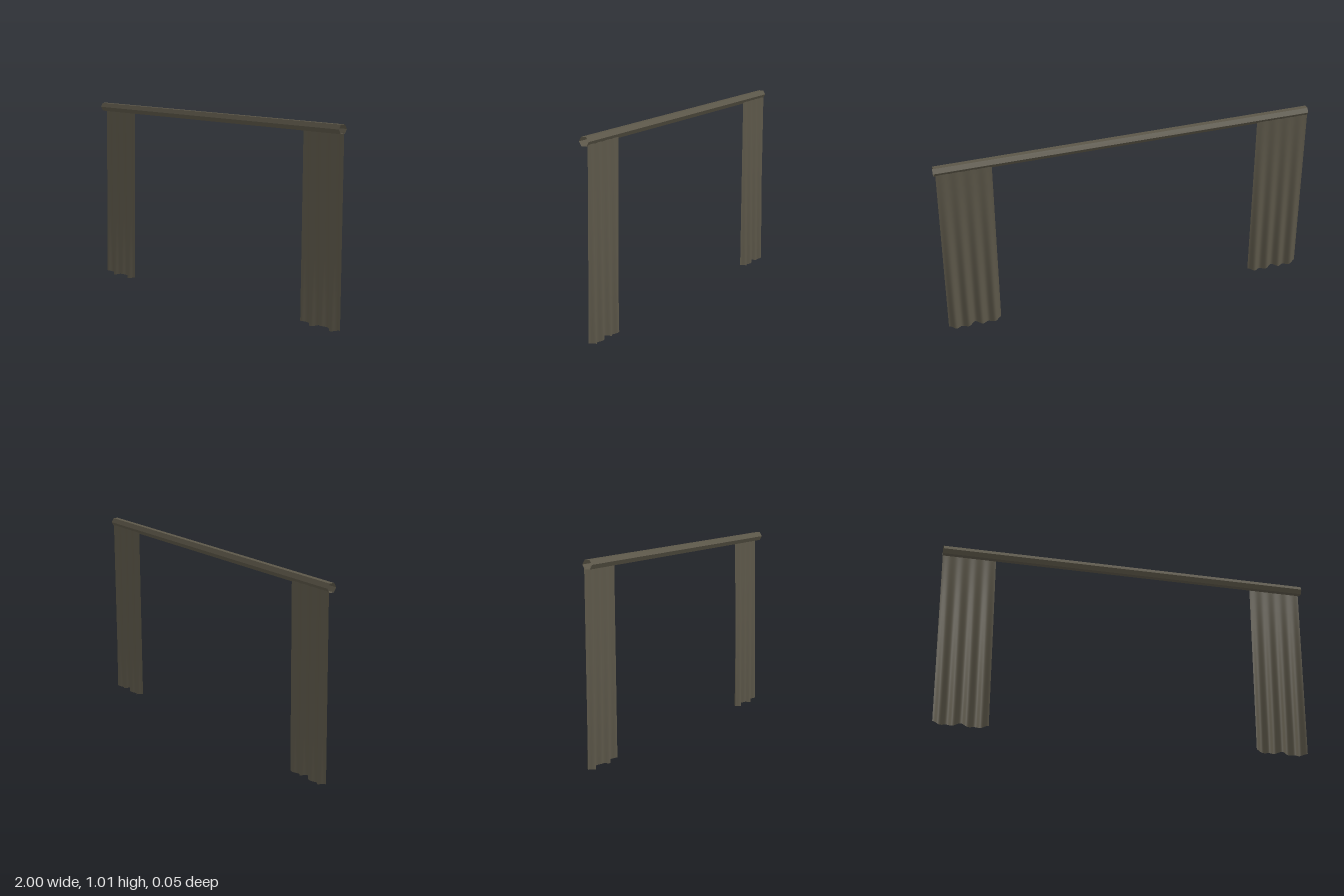
import * as THREE from 'three';

const WIDTH = 0.285, TOP = 0.97, FOLDS = 4;

// A hanging cloth panel whose folds deepen from the gathered top to the hem
function curtainGeometry() {
  const geo = new THREE.PlaneGeometry(WIDTH, 1, 48, 8);
  const pos = geo.attributes.position;
  for (let i = 0; i < pos.count; i++) {
    const u = pos.getX(i) / WIDTH + 0.5;
    const drop = 0.5 - pos.getY(i);
    const hem = 0.008 + 0.007 * Math.cos(u * Math.PI * 4);
    const depth = 0.001 + 0.01 * drop;
    pos.setY(i, TOP - drop * (TOP - hem));
    pos.setZ(i, -0.017 + depth * Math.cos(u * Math.PI * 2 * FOLDS));
  }
  geo.computeVertexNormals();
  return geo;
}

export function createModel() {
  const model = new THREE.Group();
  model.name = 'curtains';

  const rodMaterial = new THREE.MeshStandardMaterial({ color: 0x5c5749, flatShading: true, side: THREE.DoubleSide });
  rodMaterial.name = 'rod grey brown';
  const clothMaterial = new THREE.MeshStandardMaterial({ color: 0x5c5749, side: THREE.DoubleSide });
  clothMaterial.name = 'cloth grey brown';

  // Hollow six-sided rod, flat on top and bottom
  const rodGeometry = new THREE.CylinderGeometry(0.026, 0.026, 2, 6, 1, true);
  rodGeometry.rotateZ(Math.PI / 2);
  const rod = new THREE.Mesh(rodGeometry, rodMaterial);
  rod.name = 'rod';
  rod.position.y = 0.985;
  model.add(rod);

  // One panel hanging at each end
  const cloth = curtainGeometry();
  for (const [name, x] of [['leftCurtain', 0.85], ['rightCurtain', -0.857]]) {
    const curtain = new THREE.Mesh(cloth, clothMaterial);
    curtain.name = name;
    curtain.position.x = x;
    model.add(curtain);
  }
  return model;
}
